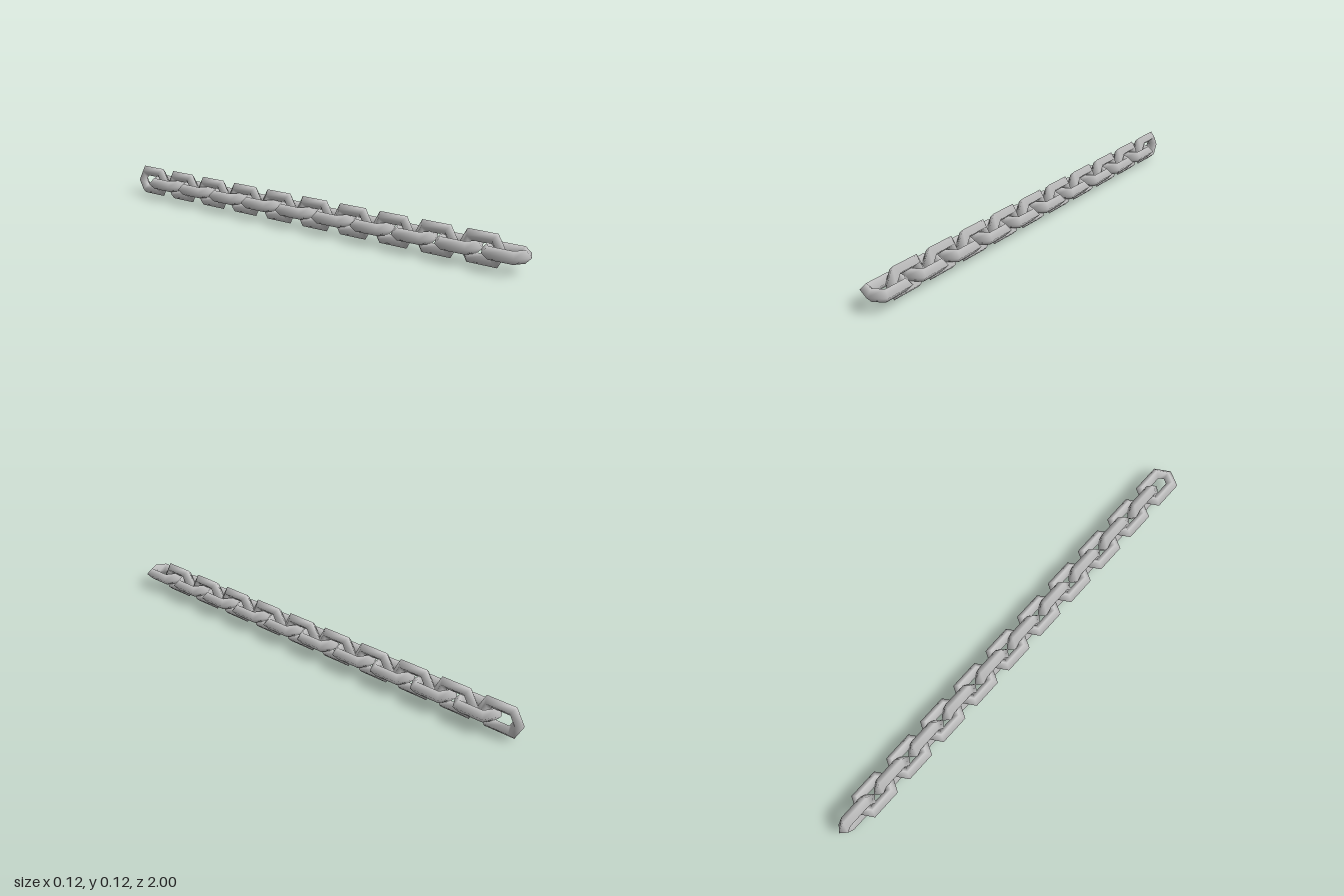
import * as THREE from 'three';

const LINKS = 20;         // links along z
const PITCH = 0.095;      // distance between neighbouring links
const RING = 0.0467;      // ring radius of a link
const TUBE = 0.024;       // bar radius of a link
const STRETCH = 0.0266;   // how far each half of the ring is pulled apart
const CENTRE_Y = 0.0625;

// Six-sided ring with a four-sided bar, pulled apart into a long link along z
function linkGeometry() {
  const geometry = new THREE.TorusGeometry(RING, TUBE, 4, 6);
  const p = geometry.attributes.position;
  for (let i = 0; i < p.count; i++) p.setX(i, p.getX(i) + Math.sign(p.getX(i)) * STRETCH);
  return geometry.rotateY(Math.PI / 2);
}

export function createModel() {
  const chain = new THREE.Group();
  chain.name = 'chain';

  const steel = new THREE.MeshStandardMaterial({ color: 0xcacaca });
  steel.name = 'light steel grey';

  const upright = linkGeometry();
  const flat = upright.clone().rotateZ(Math.PI / 2);

  // Links alternate: upright at the back end, flat at the front end
  for (let i = 0; i < LINKS; i++) {
    const isFlat = i % 2 === 1;
    const link = new THREE.Mesh(isFlat ? flat : upright, steel);
    link.name = (isFlat ? 'flatLink' : 'uprightLink') + (Math.floor(i / 2) + 1);
    link.position.set(0, CENTRE_Y, (i - (LINKS - 1) / 2) * PITCH);
    chain.add(link);
  }
  return chain;
}
